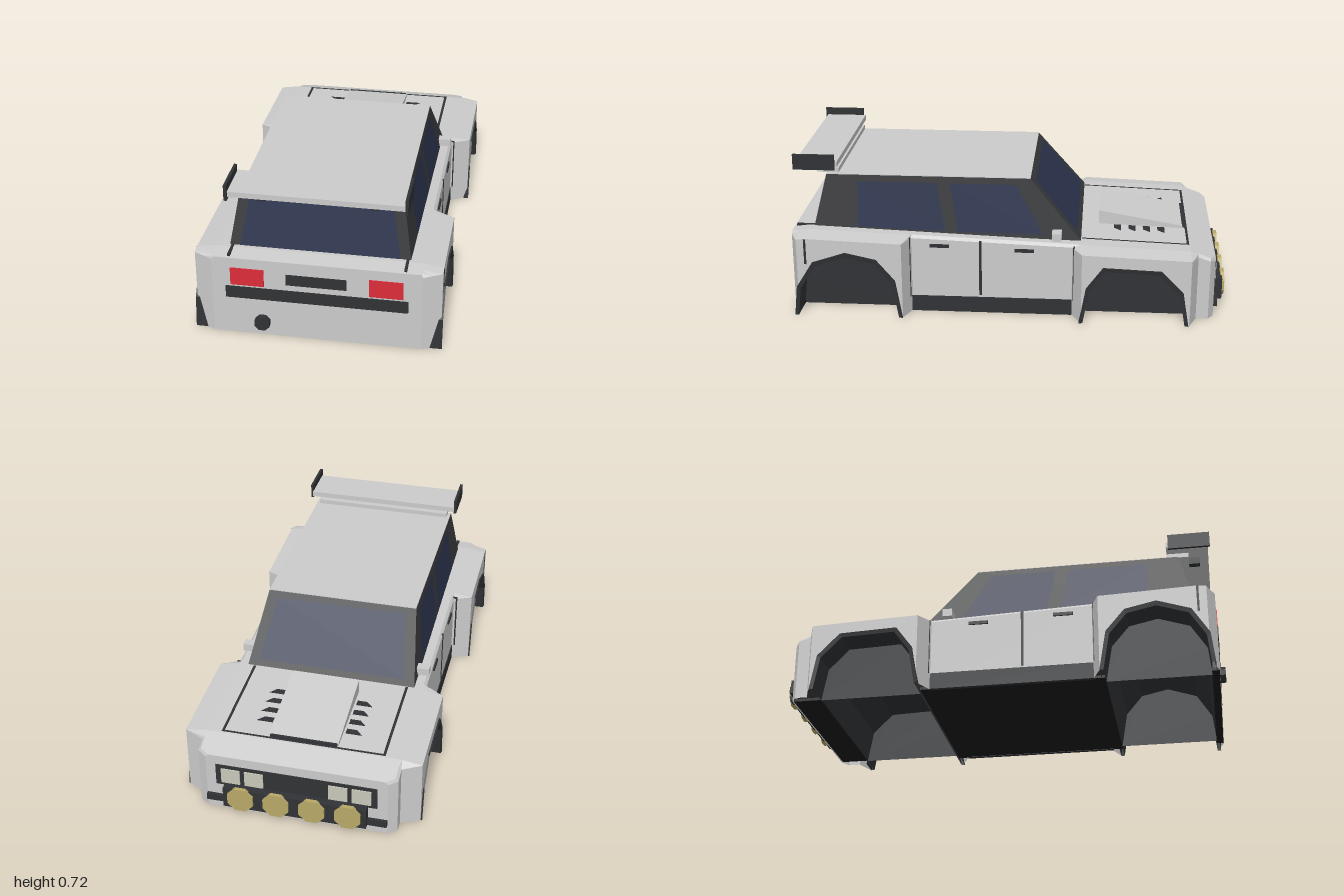
import * as THREE from 'three';
import { ConvexGeometry } from 'three/addons/geometries/ConvexGeometry.js';

const mat = (color) => new THREE.MeshStandardMaterial({ color, flatShading: true, side: THREE.DoubleSide });

export function createModel() {
  const car = new THREE.Group();
  const grey = mat(0xcccccc), dark = mat(0x303235), frame = mat(0x38393b), floorMat = mat(0x1c1c1d);
  const glass = mat(0x2c344e), red = mat(0xdc2c3a), amber = mat(0xb8a868), lampMat = mat(0xc8c8ba);

  const add = (name, geo, m) => {
    const mesh = new THREE.Mesh(geo, m);
    mesh.name = name;
    car.add(mesh);
    return mesh;
  };
  // box from its min and max corners
  const box = (name, m, x0, x1, y0, y1, z0, z1) => {
    const b = add(name, new THREE.BoxGeometry(x1 - x0, y1 - y0, z1 - z0), m);
    b.position.set((x0 + x1) / 2, (y0 + y1) / 2, (z0 + z1) / 2);
    return b;
  };
  // the same box on both sides
  const pair = (name, m, x0, x1, ...yz) => {
    box(name, m, x0, x1, ...yz);
    box(name, m, -x1, -x0, ...yz);
  };
  const hull = (name, m, pts) => add(name, new ConvexGeometry(pts.map((p) => new THREE.Vector3(...p))), m);
  const panel = (name, m, pts) => {
    const g = new THREE.BufferGeometry();
    g.setAttribute('position', new THREE.Float32BufferAttribute(pts.flat(), 3));
    g.setIndex(pts.slice(2).flatMap((_, i) => [0, i + 1, i + 2]));
    g.computeVertexNormals();
    return add(name, g, m);
  };
  // skin through equal-length cross-sections
  const loft = (name, m, rows) => {
    const n = rows[0].length, idx = [];
    for (let i = 0; i < rows.length - 1; i++) {
      for (let j = 0; j < n - 1; j++) {
        const a = i * n + j;
        idx.push(a, a + n, a + 1, a + 1, a + n, a + n + 1);
      }
    }
    const g = new THREE.BufferGeometry();
    g.setAttribute('position', new THREE.Float32BufferAttribute(rows.flat(2), 3));
    g.setIndex(idx);
    g.computeVertexNormals();
    return add(name, g, m);
  };
  // piecewise linear lookup along z
  const at = (line, z) => {
    if (z <= line[0][0]) return line[0][1];
    for (let i = 1; i < line.length; i++) {
      const [z0, v0] = line[i - 1], [z1, v1] = line[i];
      if (z <= z1) return v0 + ((v1 - v0) * (z - z0)) / (z1 - z0);
    }
    return line[line.length - 1][1];
  };

  // body shell: half width, top and wheel arch lines along z
  const plan = [[-0.945, 0.405], [-0.92, 0.445], [-0.865, 0.445], [-0.832, 0.53], [-0.345, 0.53],
    [-0.3, 0.445], [0.43, 0.445], [0.464, 0.53], [0.94, 0.53], [0.975, 0.45]];
  const top = [[-0.945, 0.285], [-0.83, 0.325], [-0.34, 0.342], [0.9, 0.385], [0.975, 0.375]];
  const frontArch = [[-0.828, 0], [-0.8, 0.16], [-0.7, 0.262], [-0.44, 0.272], [-0.365, 0.17], [-0.335, 0]];
  const rearArch = [[0.464, 0], [0.495, 0.18], [0.58, 0.28], [0.72, 0.31], [0.87, 0.26], [0.945, 0.14], [0.96, 0]];
  const bottom = [...frontArch, ...rearArch];
  const stations = [...new Set([...plan, ...top, ...bottom].map((p) => p[0]))].sort((a, b) => a - b);
  const rows = stations.map((z) => {
    const w = at(plan, z), t = at(top, z), s = Math.min(w - 0.012, 0.44);
    const half = [[w, at(bottom, z), z], [w, t - 0.013, z], [s, t, z]];
    return [...half, ...half.map(([x, y]) => [-x, y, z]).reverse()];
  });
  loft('bodyShell', grey, rows);
  panel('nosePanel', grey, rows[0]);
  panel('tailPanel', grey, rows[rows.length - 1]);

  // wheel wells and arch lips
  for (const arch of [frontArch, rearArch]) {
    const mid = (arch[0][0] + arch[arch.length - 1][0]) / 2;
    const inner = arch.map(([z, y]) => [mid + (z - mid) * 0.93, y * 0.93]);
    loft('wheelWell', dark, [-0.5, 0.5].map((x) => inner.map(([z, y]) => [x, y, z])));
    for (const side of [-1, 1]) {
      panel('wheelWellWall', dark, inner.map(([z, y]) => [side * 0.4, y, z]));
      const ring = [arch, inner].map((line, k) => line.map(([z, y]) => [z, y, k]));
      const strip = (x, k) => ring[k].map(([z, y]) => [side * x, y, z]);
      loft('archLip', dark, [strip(0.44, 0), strip(0.537, 0), strip(0.533, 1), strip(0.44, 1)]);
    }
  }

  // underside and sills
  box('floor', floorMat, -0.44, 0.44, 0.002, 0.015, -0.345, 0.48);
  box('noseFloor', floorMat, -0.4, 0.4, 0.002, 0.015, -0.94, -0.81);
  box('tailFloor', floorMat, -0.44, 0.44, 0.002, 0.015, 0.94, 0.973);
  pair('sill', dark, 0.43, 0.449, 0, 0.075, -0.3, 0.435);

  // cabin with roof and glass
  const sideX = (y) => 0.395 - (y - 0.345) * 0.16;
  const both = (list) => list.flatMap(([y, z]) => [[sideX(y), y, z], [-sideX(y), y, z]]);
  hull('cabin', frame, both([[0.345, -0.337], [0.62, -0.105], [0.62, 0.825], [0.37, 0.885]]));
  box('roof', grey, -0.35, 0.35, 0.618, 0.623, -0.105, 0.825);
  const sideWindows = [
    [[0.592, 0.68], [0.592, 0.32], [0.372, 0.28], [0.385, 0.68]],
    [[0.592, 0.26], [0.592, -0.04], [0.37, -0.165], [0.372, 0.222]],
  ];
  for (const w of sideWindows) {
    for (const s of [-1, 1]) panel('sideWindow', glass, w.map(([y, z]) => [s * (sideX(y) + 0.003), y, z]));
  }
  const slopeZ = (y) => -0.337 + ((y - 0.345) * 0.232) / 0.275 - 0.004;
  panel('windshield', glass, [[-0.345, 0.37], [0.345, 0.37], [0.305, 0.598], [-0.305, 0.598]].map(([x, y]) => [x, y, slopeZ(y)]));
  const backZ = (y) => 0.885 - (y - 0.37) * 0.24 + 0.004;
  panel('rearWindow', glass, [[-0.345, 0.386], [0.345, 0.386], [0.307, 0.596], [-0.307, 0.596]].map(([x, y]) => [x, y, backZ(y)]));
  pair('mirror', grey, 0.385, 0.445, 0.357, 0.393, -0.25, -0.207);

  // door seams and handles
  pair('doorSeam', dark, 0.44, 0.448, 0.085, 0.35, 0.11, 0.122);
  pair('rearDoorSeam', dark, 0.44, 0.462, 0.075, 0.362, 0.434, 0.444);
  pair('frontDoorSeam', dark, 0.44, 0.458, 0.075, 0.335, -0.312, -0.304);
  pair('rearHandle', dark, 0.44, 0.452, 0.315, 0.33, 0.257, 0.345);
  pair('frontHandle', dark, 0.44, 0.452, 0.302, 0.317, -0.128, -0.04);
  pair('rearDeckSeam', dark, 0.37, 0.382, 0.37, 0.387, 0.82, 0.965);
  pair('rearFenderSeam', dark, 0.525, 0.532, 0.25, 0.37, 0.896, 0.906);

  // hood seams, scoop and vents
  const hoodY = (z) => at(top, z) + 0.003;
  for (const s of [-1, 1]) {
    panel('hoodSeam', dark, [[0.355, -0.825], [0.367, -0.825], [0.367, -0.34], [0.355, -0.34]].map(([x, z]) => [s * x, hoodY(z), z]));
    for (let i = 0; i < 4; i++) {
      const z = -0.72 + i * 0.067;
      panel('hoodVent', dark, [[0.165, z], [0.24, z], [0.21, z + 0.033], [0.165, z + 0.033]].map(([x, v]) => [s * x, hoodY(v), v]));
    }
  }
  panel('hoodFrontSeam', dark, [[-0.367, -0.826], [0.367, -0.826], [0.367, -0.815], [-0.367, -0.815]].map(([x, z]) => [x, hoodY(z), z]));
  hull('hoodScoop', grey, [-0.155, 0.155].flatMap((x) => [[x, 0.32, -0.805], [x, 0.337, -0.805], [x, 0.404, -0.415], [x, 0.33, -0.415]]));
  box('scoopIntake', dark, -0.15, 0.15, 0.322, 0.338, -0.815, -0.803);

  // nose: grille, headlights, bumper and lamp bar
  box('grille', dark, -0.36, 0.36, 0.135, 0.24, -0.951, -0.94);
  pair('outerHeadlight', lampMat, 0.25, 0.335, 0.15, 0.225, -0.956, -0.945);
  pair('innerHeadlight', lampMat, 0.145, 0.23, 0.15, 0.225, -0.956, -0.945);
  box('frontBumper', dark, -0.405, 0.405, 0.045, 0.075, -0.962, -0.94);
  box('lampBar', dark, -0.32, 0.32, 0.045, 0.145, -0.988, -0.945);
  const octagon = (name, m, r, len, x, y, z) => {
    const o = add(name, new THREE.CylinderGeometry(r, r, len, 8).rotateY(Math.PI / 8).rotateX(Math.PI / 2), m);
    o.position.set(x, y, z);
  };
  for (const x of [-0.24, -0.08, 0.08, 0.24]) octagon('roundLamp', amber, 0.062, 0.018, x, 0.1, -0.991);

  // tail: lights, plate, bumper and exhaust
  pair('tailLight', red, 0.225, 0.37, 0.245, 0.328, 0.965, 0.979);
  box('plateRecess', dark, -0.13, 0.13, 0.265, 0.316, 0.965, 0.979);
  box('rearBumper', dark, -0.392, 0.392, 0.18, 0.236, 0.965, 0.98);
  octagon('exhaust', dark, 0.035, 0.04, -0.235, 0.068, 0.98);

  // roof spoiler
  box('spoilerLedge', grey, -0.335, 0.335, 0.625, 0.646, 0.77, 0.87);
  pair('spoilerPost', dark, 0.224, 0.256, 0.63, 0.665, 0.84, 0.92);
  box('spoilerWing', grey, -0.372, 0.372, 0.662, 0.687, 0.77, 0.96);
  pair('spoilerEndPlate', dark, 0.37, 0.383, 0.649, 0.72, 0.78, 0.97);

  return car;
}
